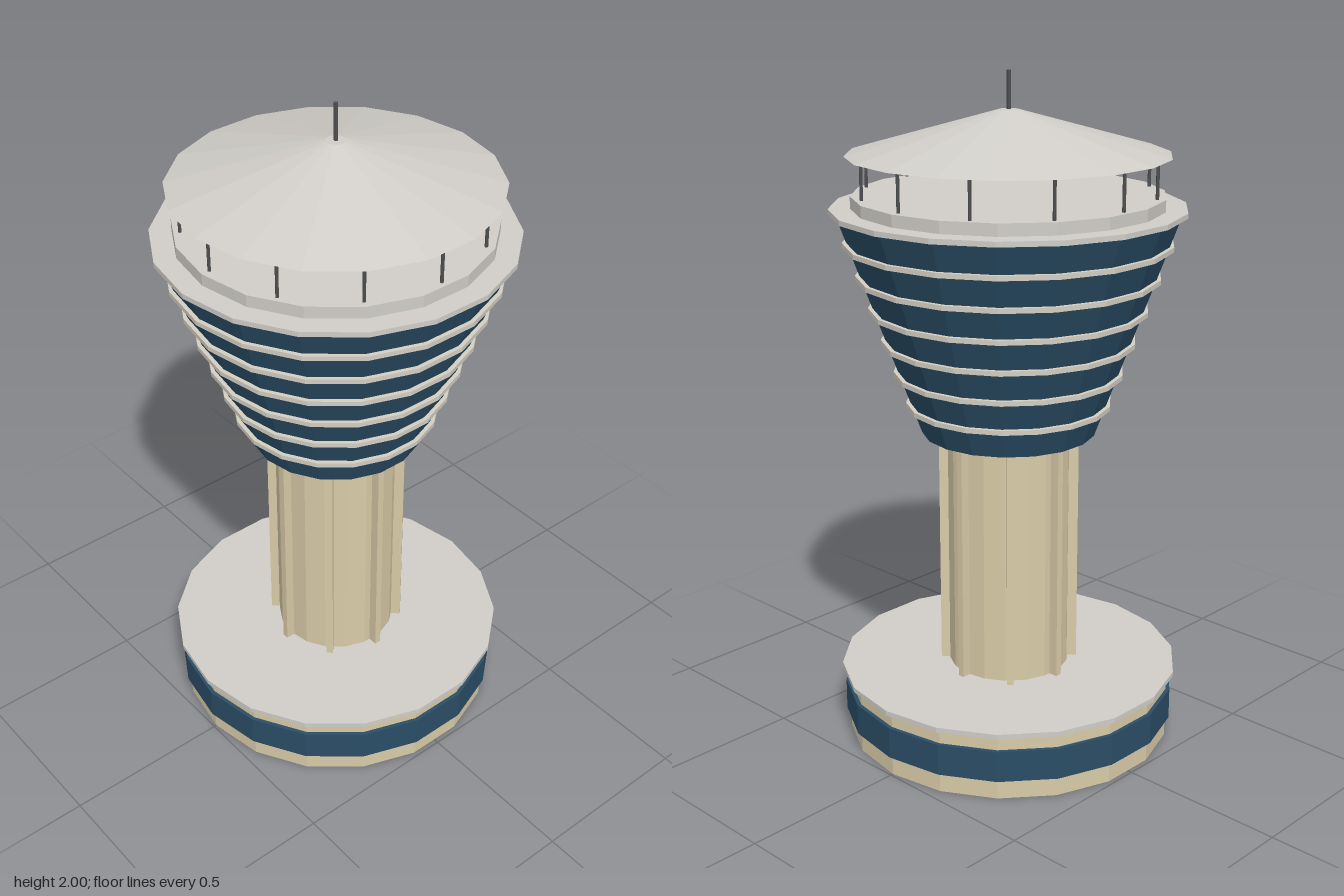
import * as THREE from 'three';

const SIDES = 18;

export function createModel() {
  const model = new THREE.Group();
  model.name = 'controlTower';

  const flat = (name, color) => {
    const m = new THREE.MeshStandardMaterial({ color, flatShading: true });
    m.name = name;
    return m;
  };
  const concrete = flat('cream concrete', 0xd9cba8);
  const glass = flat('dark blue glass', 0x2a4d66);
  const slabGrey = flat('light grey', 0xd0cdc8);
  const trim = flat('pale trim', 0xd4cec2);
  const metal = flat('dark metal', 0x4c4e50);

  // Faceted drum or cone between heights y0 and y1
  const drum = (name, material, r0, r1, y0, y1, sides = SIDES, parent = model) => {
    const mesh = new THREE.Mesh(new THREE.CylinderGeometry(r1, r0, y1 - y0, sides), material);
    mesh.position.y = (y0 + y1) / 2;
    mesh.name = name;
    parent.add(mesh);
    return mesh;
  };

  // Round base building with window band and roof slab
  drum('baseWall', concrete, 0.492, 0.492, 0, 0.203);
  drum('baseWindowBand', glass, 0.504, 0.504, 0.06, 0.155);
  drum('baseRoofSlab', slabGrey, 0.513, 0.513, 0.2, 0.215);

  // Shaft with eight vertical ribs
  drum('shaft', concrete, 0.182, 0.182, 0.21, 0.96);
  const ribs = new THREE.Group();
  ribs.name = 'shaftRibs';
  model.add(ribs);
  for (let i = 0; i < 8; i++) {
    const a = (i / 8) * Math.PI * 2;
    const rib = new THREE.Mesh(new THREE.BoxGeometry(0.02, 0.745, 0.05), concrete);
    rib.position.set(Math.sin(a) * 0.183, 0.5825, Math.cos(a) * 0.183);
    rib.rotation.y = a;
    rib.name = 'shaftRib';
    ribs.add(rib);
  }

  // Flared glass cab with evenly spaced rings
  const cabBottom = 0.95, cabTop = 1.608, rBottom = 0.257, rTop = 0.495;
  drum('cabGlass', glass, rBottom, rTop, cabBottom, cabTop);
  for (let i = 0; i < 6; i++) {
    const y = 1.037 + i * 0.0957;
    const r = THREE.MathUtils.mapLinear(y, cabBottom, cabTop, rBottom, rTop) + 0.015;
    drum('cabRing', trim, r, r, y - 0.007, y + 0.007);
  }

  // Deck and parapet on top of the cab
  drum('cabDeck', slabGrey, 0.513, 0.513, 1.605, 1.62);
  drum('parapet', slabGrey, 0.45, 0.45, 1.615, 1.655);

  // Twelve thin posts carrying the roof
  const posts = new THREE.Group();
  posts.name = 'roofPosts';
  model.add(posts);
  for (let i = 0; i < 12; i++) {
    const a = (i / 12) * Math.PI * 2;
    const post = drum('roofPost', metal, 0.005, 0.005, 1.65, 1.773, 6, posts);
    post.position.x = Math.sin(a) * 0.425;
    post.position.z = Math.cos(a) * 0.425;
  }

  // Shallow conical roof and mast
  drum('roof', slabGrey, 0.465, 0.028, 1.767, 1.892);
  drum('mast', metal, 0.006, 0.006, 1.885, 2, 8);

  return model;
}
